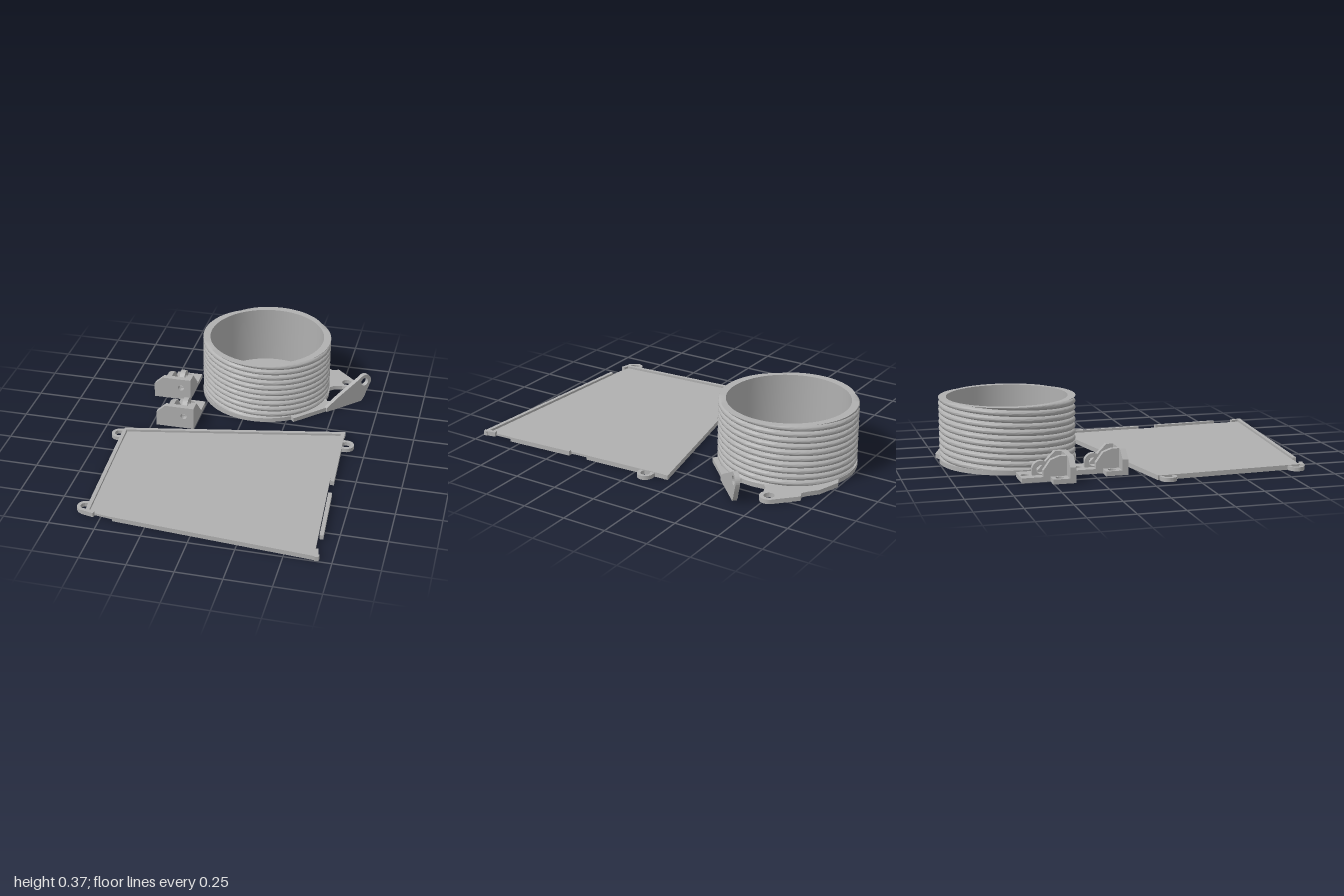
import * as THREE from 'three';
import { toCreasedNormals } from 'three/addons/utils/BufferGeometryUtils.js';

const grey = new THREE.MeshStandardMaterial({ color: 0xb0b0b0, side: THREE.DoubleSide });
grey.name = 'plain grey';

const CX = 0.06, CZ = -0.616; // drum centre
const FLOOR = 0.025, TOP = 0.365;

function mesh(name, geometry, parent) {
  const m = new THREE.Mesh(geometry, grey);
  m.name = name;
  parent.add(m);
  return m;
}

function circle(x, y, r) {
  return new THREE.Path().absarc(x, y, r, 0, Math.PI * 2, true);
}

function extrude(shape, depth) {
  const g = new THREE.ExtrudeGeometry(shape, { depth, bevelEnabled: false, curveSegments: 24 });
  return toCreasedNormals(g, 0.5);
}

// Flat plate from [x, z] points, with round holes [x, z, r], standing on y
function plan(points, holes, height, y = 0) {
  const s = new THREE.Shape(points.map(([x, z]) => new THREE.Vector2(x, -z)));
  holes.forEach(([x, z, r]) => s.holes.push(circle(x, -z, r)));
  return extrude(s, height).rotateX(-Math.PI / 2).translate(0, y, 0);
}

// Points on an arc in the [x, z] plane
function arc(x, z, r, from, to, n = 16) {
  return Array.from({ length: n + 1 }, (_, i) => {
    const a = from + (to - from) * i / n;
    return [x + r * Math.cos(a), z + r * Math.sin(a)];
  });
}

// Four-start ribbed wall: helical outside, flat top rim, plain inside
function ribbedWall() {
  const pitch = 0.0345, lead = pitch * 4, per = 8, cols = 128;
  const pos = [], index = [];
  const first = -4 * per, last = Math.ceil(TOP / pitch) * per, rows = last - first + 3;
  for (let j = 0; j < rows; j++) {
    for (let i = 0; i <= cols; i++) {
      const a = i / cols * Math.PI * 2, rise = lead * i / cols;
      let y = THREE.MathUtils.clamp((first + j) * pitch / per + rise, FLOOR, TOP);
      const p = (y - rise) / pitch, u = (p - Math.floor(p)) * 2 - 1;
      let r = 0.358 + 0.021 * Math.sqrt(Math.max(0, 1 - u * u));
      if (j >= rows - 2) {
        r = 0.336;
        y = j === rows - 2 ? TOP : FLOOR;
      }
      pos.push(r * Math.cos(a), y, r * Math.sin(a));
    }
  }
  for (let j = 0; j < rows - 1; j++) {
    for (let i = 0; i < cols; i++) {
      const a = j * (cols + 1) + i, c = a + cols + 1;
      if (pos[a * 3 + 1] === pos[c * 3 + 4] && j < rows - 3) continue;
      index.push(a, c, a + 1, a + 1, c, c + 1);
    }
  }
  const g = new THREE.BufferGeometry();
  g.setAttribute('position', new THREE.Float32BufferAttribute(pos, 3));
  g.setIndex(index);
  return toCreasedNormals(g, 0.7);
}

function makeDrum() {
  const drum = new THREE.Group();
  drum.name = 'ribbedDrum';
  mesh('ribbedWall', ribbedWall(), drum).position.set(CX, 0, CZ);

  // Floor ring with a small round notch in its opening
  const ring = new THREE.Shape().absarc(0, 0, 0.38, 0, Math.PI * 2, false);
  const notch = 0.08, mid = -Math.PI / 4, hole = [];
  arc(0, 0, 0.232, mid + notch, mid + Math.PI * 2 - notch, 64).forEach(p => hole.push(p));
  arc(0.236 * Math.cos(mid), 0.236 * Math.sin(mid), 0.02, mid - 1.5, mid + 1.5, 10).forEach(p => hole.push(p));
  ring.holes.push(new THREE.Path(hole.map(([x, y]) => new THREE.Vector2(x, y))));
  const floor = new THREE.ExtrudeGeometry(ring, { depth: FLOOR, bevelEnabled: false, curveSegments: 64 });
  mesh('floorRing', toCreasedNormals(floor, 0.5).rotateX(-Math.PI / 2).translate(CX, 0, CZ), drum);

  // Flat ear with a screw hole
  const ear = [[0.16, -0.98], [0.21, -1], [0.336, -0.958], [0.385, -0.915], [0.415, -0.897], [0.452, -0.91],
    ...arc(0.526, -0.767, 0.052, -0.7, 2.0), [0.46, -0.708], [0.425, -0.675], [0.36, -0.66], [0.25, -0.9]];
  mesh('flatEar', plan(ear, [[0.526, -0.767, 0.029]], FLOOR), drum);

  // Foot that carries the upright lug
  const foot = [[0.294, -0.282], [0.53, -0.516], [0.512, -0.532], [0.45, -0.52], [0.43, -0.56], [0.36, -0.56], [0.25, -0.33]];
  mesh('lugFoot', plan(foot, [], FLOOR), drum);

  // Upright lug, turned 45 degrees
  const lug = new THREE.Shape();
  lug.moveTo(0, 0).lineTo(0, 0.025).lineTo(0.07, 0.07).lineTo(0.235, 0.157);
  lug.absarc(0.268, 0.125, 0.046, 2.3, -0.3, true);
  lug.lineTo(0.285, 0.06).lineTo(0.27, 0.025).lineTo(0.25, 0).closePath();
  lug.holes.push(circle(0.268, 0.125, 0.025));
  const upright = mesh('uprightLug', extrude(lug, 0.025), drum);
  upright.position.set(0.445, 0, -0.455);
  upright.rotation.y = Math.PI / 4;
  return drum;
}

function makeTray() {
  const tray = new THREE.Group();
  tray.name = 'tray';
  mesh('trayFloor', plan([[-0.61, 0.055], [0.6, -0.19], [0.613, 0.31], [0.655, 0.98], [-0.43, 0.895], [-0.575, 0.875]], [], 0.013), tray);

  // Rim pieces, each outer edge running with the inside on its right
  const w = 0.021;
  const edges = [
    [-0.628, 0.047, 0.612, -0.202], [0.611, -0.2, 0.638, 0.31], [0.647, 0.42, 0.672, 0.81],
    [0.668, 0.925, 0.681, 0.995], [0.681, 0.994, -0.432, 0.91], [-0.54, 0.9, -0.61, 0.885],
    [-0.588, 0.88, -0.633, 0.055],
  ];
  edges.forEach(([x1, z1, x2, z2]) => {
    const l = Math.hypot(x2 - x1, z2 - z1), nx = -(z2 - z1) / l * w, nz = (x2 - x1) / l * w;
    mesh('rim', plan([[x1, z1], [x2, z2], [x2 + nx, z2 + nz], [x1 + nx, z1 + nz]], [], 0.026), tray);
  });

  // Screw ears, each a round end joined to the rim
  [[-0.643, 0.101, 1], [-0.6, 0.838, 1], [0.638, -0.077, -1]].forEach(([x, z, side]) => {
    const start = side > 0 ? Math.PI / 2 : -Math.PI / 2;
    const ear = [...arc(x, z, 0.045, start, start + Math.PI), [x + side * 0.026, z - side * 0.045], [x + side * 0.026, z + side * 0.045]];
    mesh('screwEar', plan(ear, [[x, z, 0.026]], 0.022), tray);
  });
  return tray;
}

// Hinge bracket with its front left corner at the origin: x 0..0.222, z -0.275..0
function makeBracket() {
  const b = new THREE.Group();
  b.name = 'hingeBracket';
  const base = [[0, 0], [0.222, 0], [0.222, -0.275], [0.07, -0.275], [0.07, -0.122], [0, -0.122]];
  mesh('base', plan(base, [[0.036, -0.08, 0.022], [0.142, -0.08, 0.022], [0.142, -0.244, 0.022]], 0.026), b);

  // Front wall with clipped corner and pin hole
  const wall = new THREE.Shape();
  wall.moveTo(0, 0).lineTo(0.222, 0).lineTo(0.222, 0.133).lineTo(0.053, 0.133).lineTo(0, 0.085).closePath();
  wall.holes.push(circle(0.163, 0.077, 0.018));
  mesh('frontWall', extrude(wall, 0.032).translate(0, 0, -0.032), b);

  // Side walls, drawn as [distance behind the front, height]
  const side = (name, pts, x, t, hole) => {
    const s = new THREE.Shape(pts.map(p => new THREE.Vector2(...p)));
    if (hole) s.holes.push(circle(...hole));
    mesh(name, extrude(s, t).rotateY(Math.PI / 2).translate(x, 0, 0), b);
  };
  side('rightGusset', [[0, 0], [0.165, 0], [0.165, 0.035], [0.07, 0.133], [0, 0.133]], 0.19, 0.032);
  side('leftGusset', [[0, 0], [0.16, 0], [0.16, 0.06], [0.12, 0.115], [0.07, 0.133], [0, 0.133]], 0.07, 0.03);
  const knuckle = [[0.115, 0], ...arc(0.162, 0.055, 0.047, Math.PI, 0), [0.209, 0]];
  side('knuckle', knuckle, 0.122, 0.03, [0.162, 0.055, 0.024]);
  return b;
}

export function createModel() {
  const model = new THREE.Group();
  model.name = 'printedParts';
  model.add(makeDrum(), makeTray());
  [[-0.574, -0.381], [-0.473, -0.07]].forEach(([x, z]) => {
    const bracket = makeBracket();
    bracket.position.set(x, 0, z);
    model.add(bracket);
  });
  return model;
}
